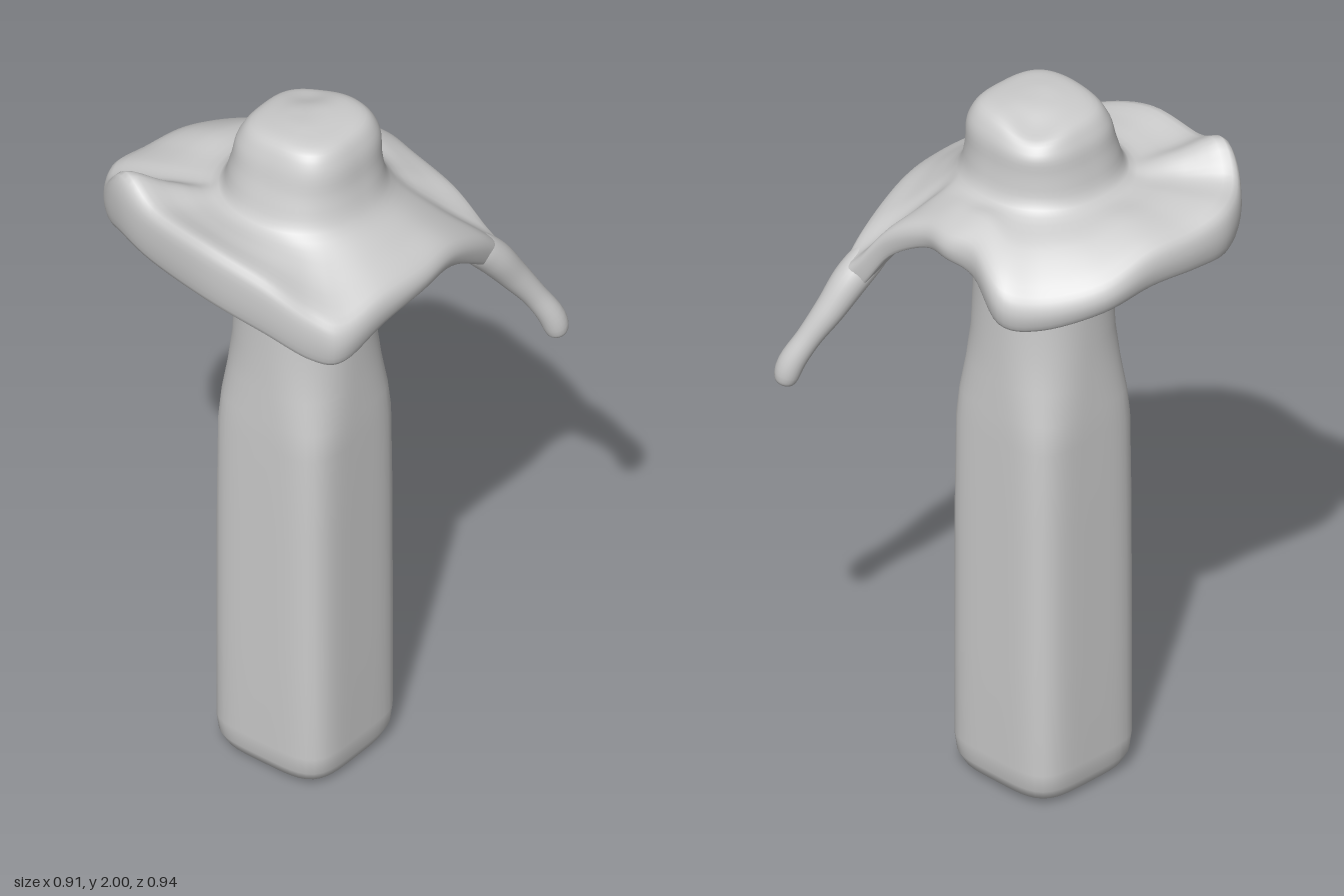
import * as THREE from 'three';

const material = new THREE.MeshStandardMaterial({ color: 0xcccccc, side: THREE.DoubleSide });
const { lerp, smoothstep } = THREE.MathUtils;
const CX = 0.012, CZ = 0.07; // axis of the post and crown

// Skin a stack of closed rings (arrays of Vector3 with equal length).
function loft(rings, name) {
  const n = rings[0].length, index = [];
  for (let i = 0; i < rings.length - 1; i++) {
    for (let j = 0; j < n; j++) {
      const k = (j + 1) % n;
      const a = i * n + j, b = i * n + k, c = a + n, d = b + n;
      index.push(a, c, d, a, d, b);
    }
  }
  const g = new THREE.BufferGeometry().setFromPoints(rings.flat());
  g.setIndex(index);
  g.computeVertexNormals();
  const mesh = new THREE.Mesh(g, material);
  mesh.name = name;
  return mesh;
}

// Distance to a superellipse of half-width r; power 2 is a circle, higher is squarer.
function squircle(a, r, power) {
  const s = Math.abs(Math.cos(a)) ** power + Math.abs(Math.sin(a)) ** power;
  return r / s ** (1 / power);
}

// Rounded square grip that turns into a round neck.
function makePost() {
  const sections = [ // y, half-width, power
    [0.002, 0, 4], [0.002, 0.08, 4], [0.006, 0.14, 4], [0.02, 0.167, 4.2], [0.05, 0.18, 4.5],
    [0.1, 0.184, 4.8], [0.4, 0.184, 4.8], [0.8, 0.183, 4.8], [1.05, 0.182, 4.5], [1.13, 0.18, 3.8],
    [1.22, 0.176, 2.9], [1.32, 0.173, 2.4], [1.45, 0.173, 2.2], [1.58, 0.178, 2.1], [1.72, 0.18, 2],
  ];
  return loft(sections.map(([y, r, p]) => Array.from({ length: 64 }, (_, j) => {
    const a = (j / 64) * Math.PI * 2, d = squircle(a, r, p);
    return new THREE.Vector3(CX + d * Math.cos(a), y, CZ + d * Math.sin(a));
  })), 'post');
}

// Floppy hat: one skin running from under the brim, round the rim and up over the crown.
function makeHat() {
  const rim = [ // x, z, top height, bottom height
    [0.39, 0.05, 1.67, 1.6], [0.38, 0.2, 1.67, 1.58], [0.358, 0.34, 1.64, 1.53], [0.29, 0.39, 1.67, 1.53],
    [0.17, 0.44, 1.75, 1.59], [0, 0.468, 1.8, 1.635], [-0.2, 0.445, 1.81, 1.65],
    [-0.32, 0.42, 1.86, 1.67], [-0.4, 0.37, 1.78, 1.65], [-0.45, 0.28, 1.76, 1.63],
    [-0.45, 0.17, 1.74, 1.63], [-0.43, 0.03, 1.73, 1.63], [-0.4, -0.12, 1.68, 1.6],
    [-0.3, -0.25, 1.65, 1.56], [-0.21, -0.317, 1.67, 1.57], [-0.08, -0.28, 1.73, 1.64],
    [0.01, -0.29, 1.73, 1.66], [0.1, -0.277, 1.72, 1.65], [0.22, -0.293, 1.66, 1.58],
    [0.3, -0.32, 1.56, 1.47], [0.345, -0.325, 1.52, 1.43], [0.36, -0.24, 1.59, 1.5], [0.375, -0.09, 1.66, 1.59],
  ];
  const edge = (k) => new THREE.CatmullRomCurve3(
    rim.map((p) => new THREE.Vector3(p[0], p[k], p[1])), true, 'catmullrom', 0.5);
  const topEdge = edge(2), bottomEdge = edge(3);
  const N = 138, STEPS = 60, columns = [];

  for (let j = 0; j < N; j++) {
    const t = topEdge.getPoint(j / N), b = bottomEdge.getPoint(j / N);
    const a = Math.atan2(t.z - CZ, t.x - CX), R = Math.hypot(t.x - CX, t.z - CZ);
    const mid = (k) => lerp(0.2, R, k);
    // The brim puffs up towards the back right before it droops.
    const midTop = lerp(1.77, t.y, 0.5) + 0.03 * Math.max(0, Math.cos(a + 2.4));
    const profile = [ // distance from the axis, height
      [0.17, 1.61], [mid(0.12), 1.675], [mid(0.5), midTop - 0.075],
      [R * 0.9, Math.max(b.y + 0.025, lerp(b.y, t.y, 0.3))],
      [R * 0.965, b.y], [R, (t.y + b.y) / 2], [R * 0.965, t.y], [mid(0.5), midTop],
      [squircle(a, 0.213, 2.2), 1.785], [squircle(a, 0.181, 2.5), 1.86], [squircle(a, 0.163, 2.9), 1.94],
      [squircle(a, 0.133, 3.1), 1.985], [squircle(a, 0.068, 2.6), 1.998], [0, 1.998],
    ].map(([r, y]) => new THREE.Vector3(r, y, 0));
    const curve = new THREE.CatmullRomCurve3(profile);
    columns.push(Array.from({ length: STEPS + 1 }, (_, i) => {
      const p = curve.getPoint(i / STEPS);
      const x = CX + p.x * Math.cos(a);
      const z = CZ - 0.015 * smoothstep(p.y, 1.78, 1.95) + p.x * Math.sin(a);
      // Crown top sinks a little to the right, with a shallow dent at the back.
      const sink = 0.014 * smoothstep(-x, -0.05, 0.12)
        + 0.02 * Math.exp(-((x + 0.06) ** 2 + (z + 0.04) ** 2) / 0.004);
      return new THREE.Vector3(x, p.y - sink * smoothstep(p.y, 1.88, 1.97), z);
    }));
  }
  return loft(Array.from({ length: STEPS + 1 }, (_, i) => columns.map((c) => c[i])), 'hat');
}

// Drooping tail growing out of the back corner of the brim, swept from tip to root.
function makeTail() {
  const path = new THREE.CatmullRomCurve3([
    [0.424, 1.178, -0.447], [0.412, 1.24, -0.435], [0.383, 1.315, -0.4], [0.352, 1.395, -0.352],
    [0.328, 1.478, -0.295], [0.3, 1.55, -0.225], [0.26, 1.61, -0.16],
  ].map((p) => new THREE.Vector3(...p)));
  const radii = new THREE.CatmullRomCurve3([
    [0, 0], [0.015, 0.022], [0.06, 0.033], [0.28, 0.033], [0.45, 0.04], [0.65, 0.047], [0.8, 0.04], [1, 0],
  ].map(([u, r]) => new THREE.Vector3(u, r, 0)));
  const rings = [];
  for (let i = 0; i <= 48; i++) {
    const { x: u, y: r } = radii.getPoint(i / 48);
    const s = THREE.MathUtils.clamp(u, 0, 1), c = path.getPointAt(s), T = path.getTangentAt(s);
    const e1 = new THREE.Vector3(1, 0, 0).addScaledVector(T, -T.x).normalize();
    const e2 = new THREE.Vector3().crossVectors(e1, T);
    rings.push(Array.from({ length: 24 }, (_, j) => {
      const a = (j / 24) * Math.PI * 2;
      return c.clone().addScaledVector(e1, r * Math.cos(a)).addScaledVector(e2, r * Math.sin(a));
    }));
  }
  return loft(rings, 'brimTail');
}

export function createModel() {
  const group = new THREE.Group();
  group.name = 'postWithHat';
  group.add(makePost(), makeHat(), makeTail());
  return group;
}
